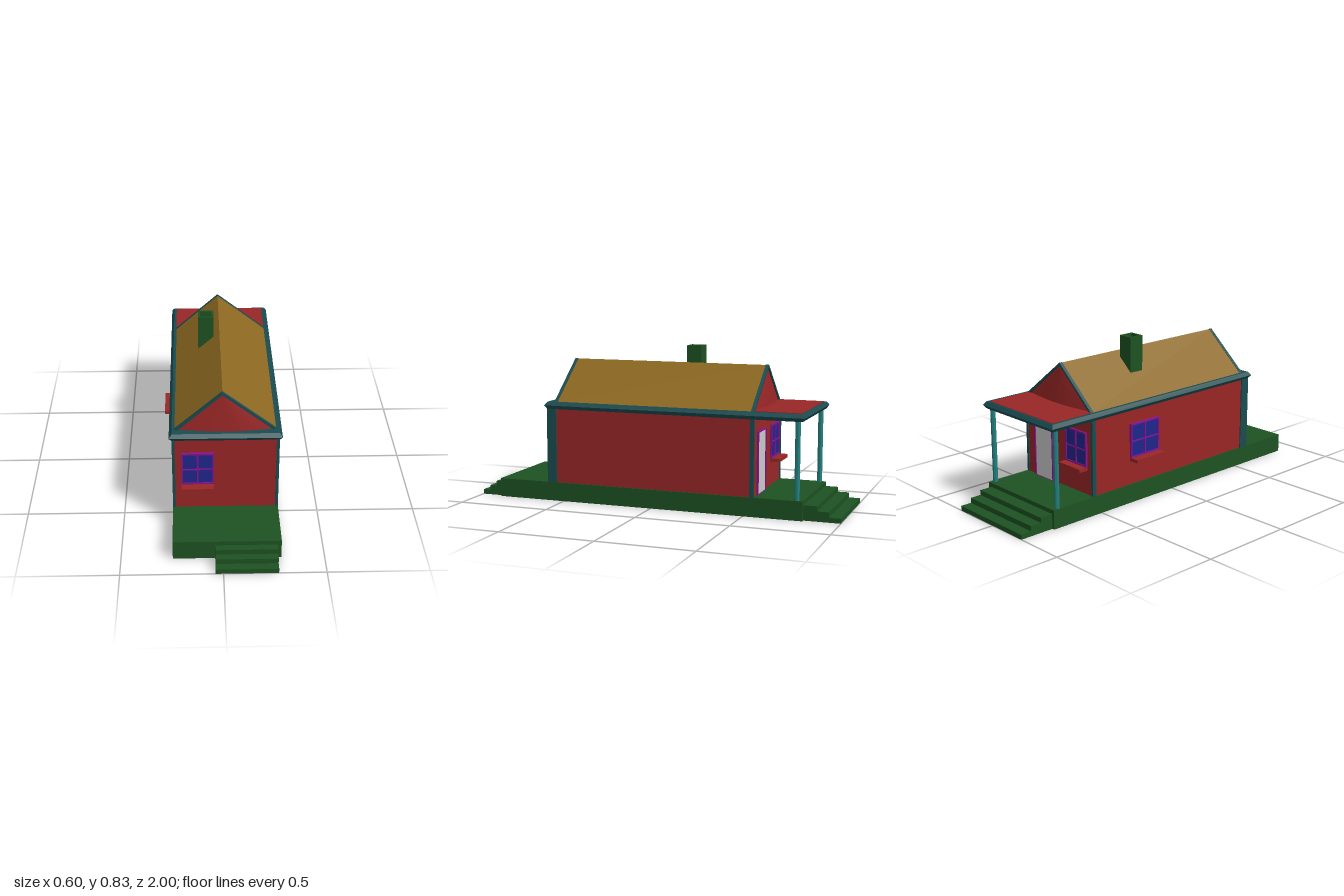
import * as THREE from 'three';

const mat = (color, side = THREE.FrontSide) =>
  new THREE.MeshStandardMaterial({ color, side, flatShading: true });
const RED = mat(0x992626), TEAL = mat(0x1a4c50), POST = mat(0x238080), GREEN = mat(0x1d5222),
  ROOF = mat(0x8c6820), PURPLE = mat(0x8a1290), BLUE = mat(0x20268c), GREY = mat(0xcccccc);

const X0 = -0.232, X1 = 0.272, CX = (X0 + X1) / 2; // wall faces seen from the front
const EAVE = 0.535, RIDGE_X = 0.005, RIDGE_Y = 0.747;

export function createModel() {
  const group = new THREE.Group();

  const add = (name, geometry, material, parent = group) => {
    const mesh = new THREE.Mesh(geometry, material);
    mesh.name = name;
    parent.add(mesh);
    return mesh;
  };
  // Box given by its minimum and maximum on each axis
  const box = (name, material, x0, x1, y0, y1, z0, z1, parent) => {
    const geometry = new THREE.BoxGeometry(x1 - x0, y1 - y0, z1 - z0);
    geometry.translate((x0 + x1) / 2, (y0 + y1) / 2, (z0 + z1) / 2);
    return add(name, geometry, material, parent);
  };
  const polygon = (points, Type = THREE.Shape) =>
    new Type(points.map(([x, y]) => new THREE.Vector2(x, y)));
  const rect = (x0, x1, y0, y1, Type) => polygon([[x0, y0], [x1, y0], [x1, y1], [x0, y1]], Type);
  const extrude = (shape, depth) =>
    new THREE.ExtrudeGeometry(shape, { depth, bevelEnabled: false });

  // Foundation with a terrace in front and a porch floor behind
  box('foundation', GREEN, -0.246, 0.287, 0, 0.1, -0.81, 0.88);
  const stepHeights = [0.078, 0.052, 0.025];
  [0.918, 0.957, 1].forEach((z, i) =>
    box('frontStep', GREEN, -0.038, 0.268, 0, stepHeights[i], 0.87, z));
  [-0.88, -0.94, -1].forEach((z, i) =>
    box('backStep', GREEN, X0, 0.268, 0, stepHeights[i], z, -0.8));

  // Walls and corner boards
  box('walls', RED, -0.24, 0.28, 0.1, 0.51, -0.552, 0.588);
  for (const [x0, x1] of [[-0.246, X0], [X1, 0.287]]) {
    box('frontCornerBoard', TEAL, x0, x1, 0.1, 0.51, 0.54, 0.593);
    box('backCornerBoard', TEAL, x0, x1, 0.1, 0.51, -0.557, -0.535);
  }

  // Eaves slab, its edge pushed out to a ridge at half height
  const eaves = new THREE.BoxGeometry(0.532, 0.038, 1.392, 1, 2, 1);
  const p = eaves.attributes.position;
  for (let i = 0; i < p.count; i++) {
    if (Math.abs(p.getY(i)) < 0.001) {
      p.setX(i, p.getX(i) + Math.sign(p.getX(i)) * 0.014);
      p.setZ(i, p.getZ(i) + Math.sign(p.getZ(i)) * 0.014);
    }
  }
  eaves.translate(0.0205, 0.517, -0.108);
  add('eaves', eaves, TEAL);

  // Porch: flat roof panel and two posts
  box('porchRoof', RED, X0, 0.27, 0.525, 0.5385, -0.795, -0.545);
  for (const x of [X0, X1]) {
    const post = new THREE.CylinderGeometry(0.0135, 0.0135, 0.41, 8);
    post.rotateY(Math.PI / 8);
    add('porchPost', post, POST).position.set(x, 0.3, -0.778);
  }

  // Pitched roof and the trim along both ends
  const roof = extrude(polygon([[X0, EAVE], [X1, EAVE], [RIDGE_X, RIDGE_Y - 0.002]]), 1.08);
  roof.translate(0, 0, -0.54);
  add('roof', roof, ROOF);
  const trimShape = polygon([[X0 - 0.003, EAVE], [X0 + 0.016, EAVE], [RIDGE_X, RIDGE_Y - 0.014],
    [X1 - 0.016, EAVE], [X1 + 0.003, EAVE], [RIDGE_X, RIDGE_Y]]);
  for (const z of [-0.553, 0.535]) {
    add('roofTrim', extrude(trimShape, 0.018), TEAL).position.z = z;
  }

  // Gables: a fan from the ridge to a gently bowed foot
  const foot = 12, gablePoints = [];
  const footPoint = (i) => {
    const u = i / foot;
    return [X0 + 0.014 + u * (X1 - X0 - 0.028), EAVE, 0.545 + 0.024 * Math.sin(Math.PI * u)];
  };
  for (let i = 0; i < foot; i++) {
    gablePoints.push(...footPoint(i), ...footPoint(i + 1), RIDGE_X, RIDGE_Y - 0.012, 0.545);
  }
  const gable = new THREE.BufferGeometry();
  gable.setAttribute('position', new THREE.Float32BufferAttribute(gablePoints, 3));
  gable.computeVertexNormals();
  const gableMaterial = mat(0x992626, THREE.DoubleSide);
  add('frontGable', gable, gableMaterial);
  add('backGable', gable, gableMaterial).scale.z = -1;

  // Open chimney
  const flue = rect(-0.108, -0.026, 0.09, 0.172);
  flue.holes.push(rect(-0.097, -0.037, 0.101, 0.161, THREE.Path));
  const chimney = extrude(flue, 0.232);
  chimney.rotateX(-Math.PI / 2);
  add('chimney', chimney, GREEN).position.y = 0.6;

  // Window facing +z: frame with four panes and a sill
  const addWindow = (name, width, x, z, turn) => {
    const win = new THREE.Group();
    const w = width / 2, y0 = 0.246, y1 = 0.427, ym = (y0 + y1) / 2 - 0.003;
    const frame = rect(-w, w, y0, y1);
    for (const [a, b] of [[-w + 0.008, -0.004], [0.004, w - 0.008]]) {
      frame.holes.push(rect(a, b, y0 + 0.008, ym - 0.003, THREE.Path));
      frame.holes.push(rect(a, b, ym + 0.003, y1 - 0.008, THREE.Path));
    }
    add('windowFrame', extrude(frame, 0.014), PURPLE, win);
    box('windowPanes', BLUE, -w + 0.004, w - 0.004, y0 + 0.004, y1 - 0.004, 0, 0.009, win);
    box('windowSill', RED, -w, w, 0.228, y0, 0, 0.058, win);
    win.name = name;
    win.position.set(x, 0, z);
    win.rotation.y = turn;
    group.add(win);
  };
  addWindow('frontWindow', 0.162, -0.119, 0.587, 0);
  addWindow('backWindow', 0.162, -0.119, -0.548, Math.PI);
  addWindow('sideWindow', 0.198, -0.239, -0.203, -Math.PI / 2);

  // Back door in its frame
  const doorFrame = rect(0.066, 0.214, 0.1, 0.427);
  doorFrame.holes.push(rect(0.073, 0.207, 0.1005, 0.42, THREE.Path));
  add('doorFrame', extrude(doorFrame, 0.014), PURPLE).position.z = -0.562;
  box('door', GREY, 0.07, 0.21, 0.1, 0.423, -0.557, -0.545);

  return group;
}
